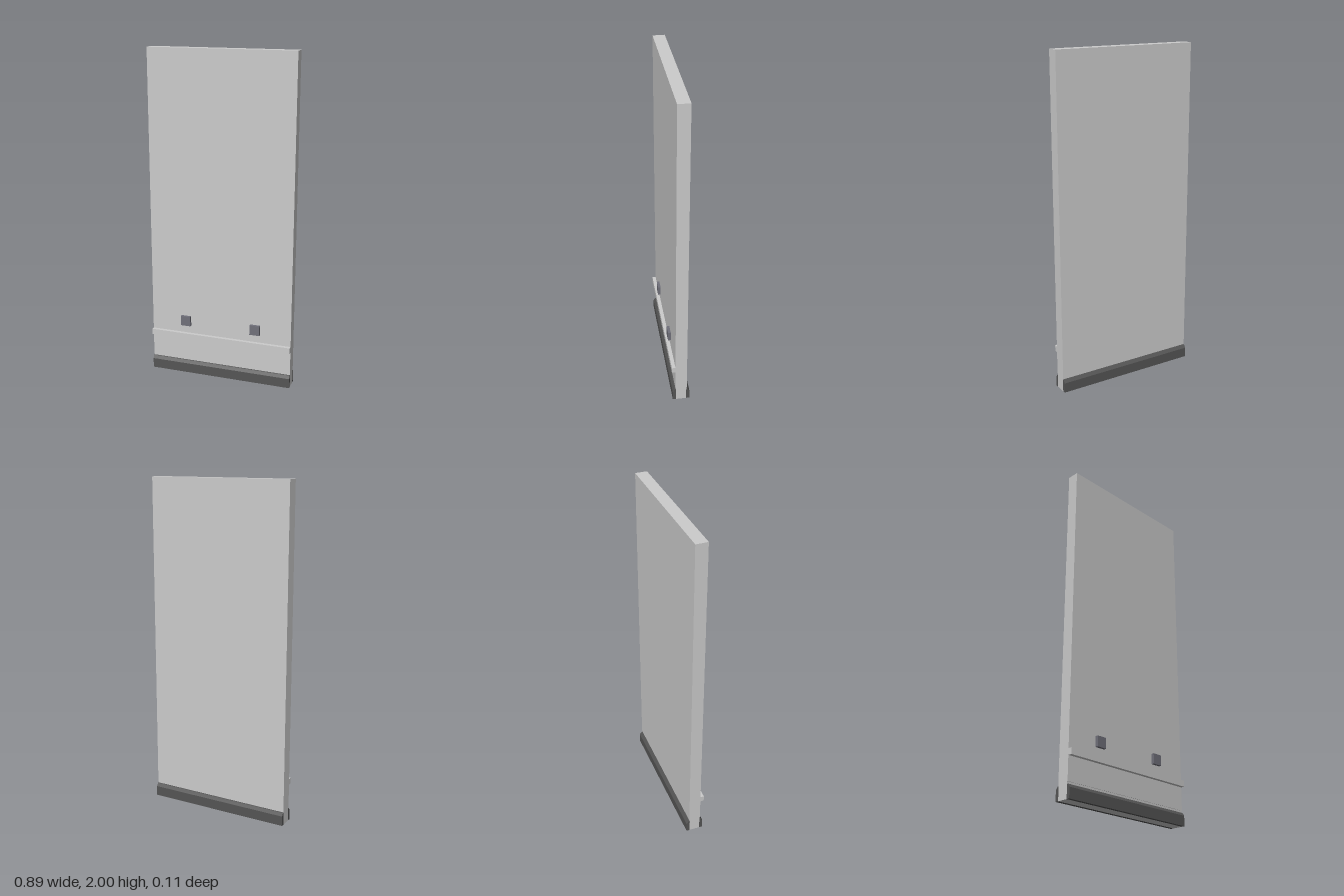
import * as THREE from 'three';

const WIDTH = 0.886;

export function createModel() {
  const group = new THREE.Group();
  const grey = new THREE.MeshStandardMaterial({ color: 0xcccccc });
  const rubber = new THREE.MeshStandardMaterial({ color: 0x555555 });
  const padGrey = new THREE.MeshStandardMaterial({ color: 0x70707a });

  // Box given by its lower and upper corners
  function box(name, [x0, y0, z0], [x1, y1, z1], material) {
    const mesh = new THREE.Mesh(new THREE.BoxGeometry(x1 - x0, y1 - y0, z1 - z0), material);
    mesh.position.set((x0 + x1) / 2, (y0 + y1) / 2, (z0 + z1) / 2);
    mesh.name = name;
    group.add(mesh);
  }

  const h = WIDTH / 2;
  box('panel', [-h, 0.092, -0.039], [h, 2, 0.031], grey);
  box('base', [-h, 0, -0.036], [h, 0.092, 0.028], grey);
  box('rail', [-h, 0.229, 0.031], [h, 0.265, 0.053], grey);

  // Two small pads above the rail
  for (const side of [-1, 1]) {
    const x = side * 0.221;
    box(side < 0 ? 'rightPad' : 'leftPad', [x - 0.031, 0.315, 0.031], [x + 0.031, 0.376, 0.048], padGrey);
  }

  // Sealing strips along both faces of the base, tapered towards the top
  function strip(name, inner, outer) {
    const thin = inner + (outer - inner) * 0.4;
    const points = [[inner, 0], [outer, 0], [outer, 0.06], [thin, 0.078], [inner, 0.078]];
    const shape = new THREE.Shape(points.map(([z, y]) => new THREE.Vector2(-z, y)));
    const geometry = new THREE.ExtrudeGeometry(shape, { depth: WIDTH, bevelEnabled: false });
    geometry.rotateY(Math.PI / 2).translate(-h, 0, 0);
    const mesh = new THREE.Mesh(geometry, rubber);
    mesh.name = name;
    group.add(mesh);
  }
  strip('frontStrip', 0.028, 0.047);
  strip('backStrip', -0.036, -0.056);

  return group;
}
